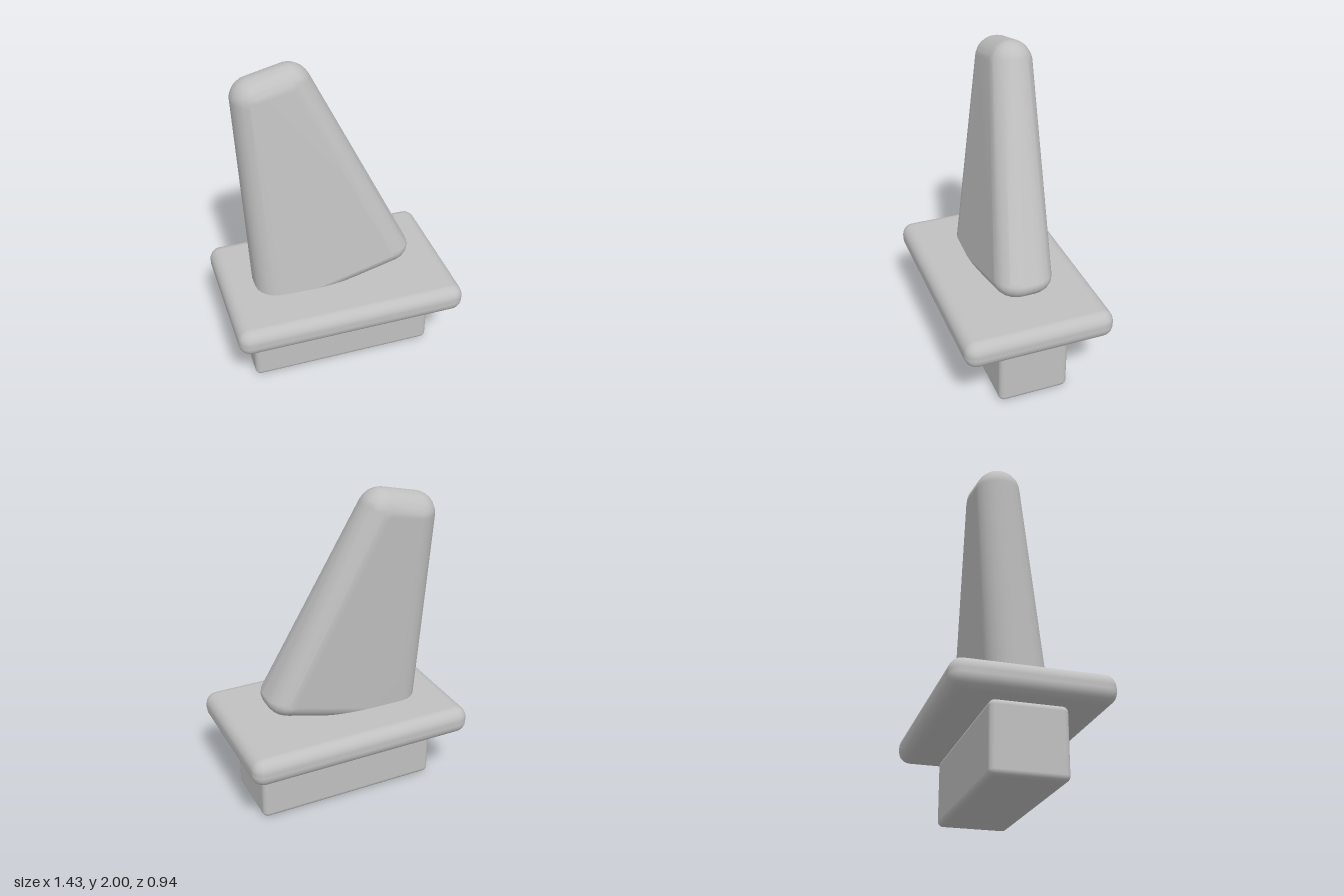
import * as THREE from 'three';
import { mergeVertices } from 'three/addons/utils/BufferGeometryUtils.js';
import { RoundedBoxGeometry } from 'three/addons/geometries/RoundedBoxGeometry.js';
import { ConvexGeometry } from 'three/addons/geometries/ConvexGeometry.js';

// Smooth skin stretched over ellipsoids given as [centre, radii]
function hullOf(ellipsoids) {
  const points = [];
  for (const [c, r] of ellipsoids) {
    const ball = mergeVertices(new THREE.SphereGeometry(1, 20, 14).deleteAttribute('uv').deleteAttribute('normal'));
    const pos = ball.attributes.position;
    for (let i = 0; i < pos.count; i++) {
      points.push(new THREE.Vector3(
        c[0] + r[0] * pos.getX(i), c[1] + r[1] * pos.getY(i), c[2] + r[2] * pos.getZ(i)));
    }
  }
  const geo = new ConvexGeometry(points);
  geo.deleteAttribute('normal');
  const smooth = mergeVertices(geo, 1e-5);
  smooth.computeVertexNormals();
  return smooth;
}

export function createModel() {
  const model = new THREE.Group();
  const grey = new THREE.MeshStandardMaterial({ color: 0xc0c0c0 });
  grey.name = 'light grey';

  const add = (name, geometry, y = 0) => {
    const mesh = new THREE.Mesh(geometry, grey);
    mesh.name = name;
    mesh.position.y = y;
    model.add(mesh);
  };

  // Body below the plate
  add('base', new RoundedBoxGeometry(1.17, 0.42, 0.445, 3, 0.035), 0.215);

  // Wide plate with rounded rim
  add('plate', new RoundedBoxGeometry(1.435, 0.175, 0.935, 3, 0.075), 0.508);

  // Leaning paddle: round top edge, wider foot sunk into the plate
  const foot = [0.14, 0.1, 0.14];
  add('paddle', hullOf([
    [[-0.43, 1.82, -0.137], [0.13, 0.13, 0.135]],
    [[-0.22, 1.865, -0.137], [0.135, 0.135, 0.135]],
    ...[0.03, -0.05].flatMap((z) => [
      [[0.335, 0.73, z], foot],
      [[-0.375, 0.54, z], foot],
    ]),
  ]));

  return model;
}
